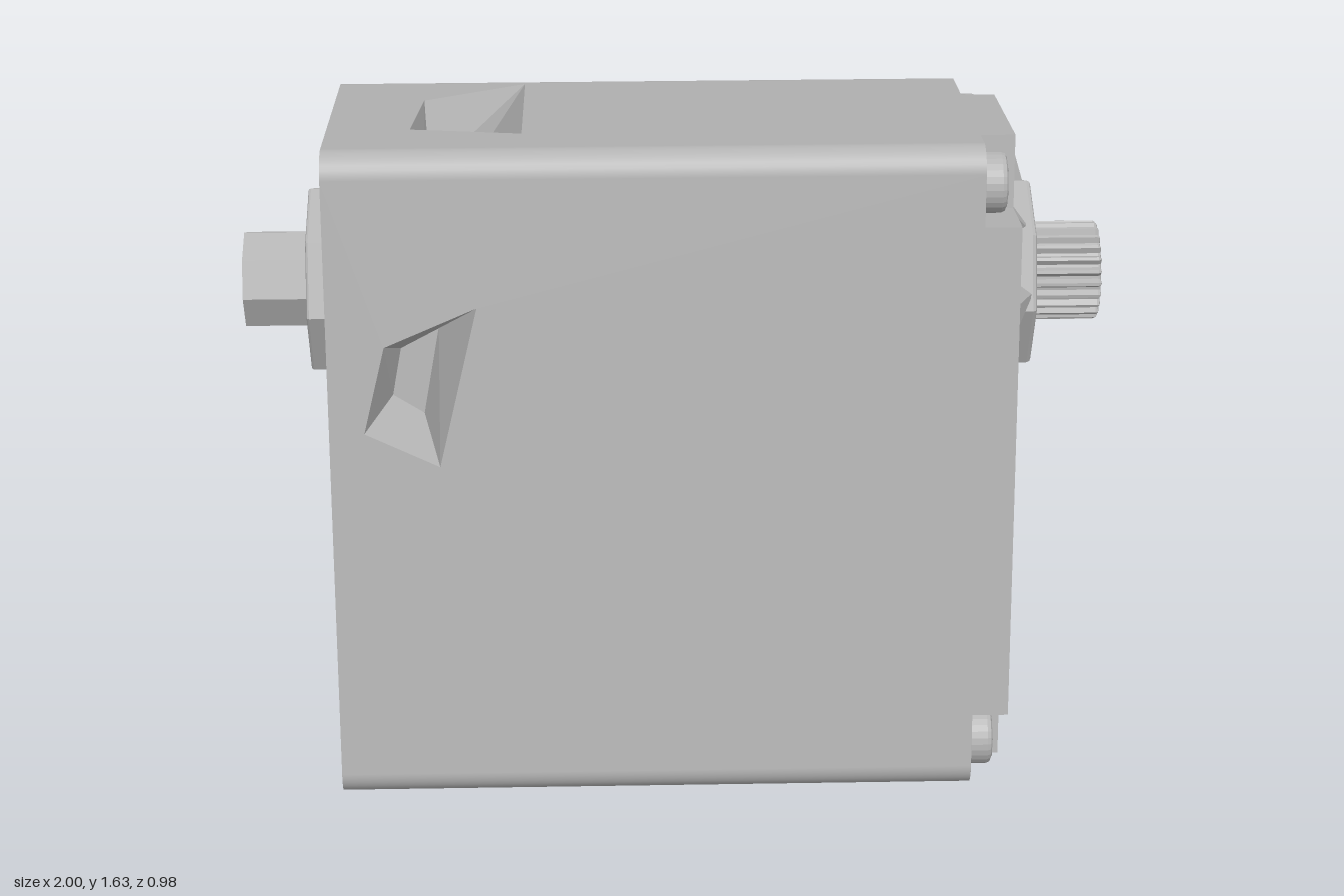
import * as THREE from 'three';
import { ConvexGeometry } from 'three/addons/geometries/ConvexGeometry.js';

// Case dimensions: half depth, half height, corner radius, end positions along x
const HU = 0.386, HV = 0.776, R = 0.06;
const X0 = -0.79, X1 = 0.69, XC = 0.775, MID = (X0 + X1) / 2, AXIS_V = 0.386;

const grey = new THREE.MeshStandardMaterial({ color: 0xb4b4b4, side: THREE.DoubleSide });
grey.name = 'grey metal';

const v2 = ([x, y]) => new THREE.Vector2(x, y);

function mesh(name, geometry, parent) {
  const m = new THREE.Mesh(geometry, grey);
  m.name = name;
  parent.add(m);
  return m;
}

// Regular polygon outline
function ring(r, n, cx = 0, cy = 0, turn = 0) {
  return Array.from({ length: n }, (_, i) => {
    const a = turn + (i / n) * Math.PI * 2;
    return new THREE.Vector2(cx + r * Math.cos(a), cy + r * Math.sin(a));
  });
}

function shapeOf(points, holes = []) {
  const s = new THREE.Shape(points);
  s.holes = holes.map((h) => new THREE.Path(h));
  return s;
}

// Extrude a profile outward along x: side 1 is the output end, -1 the rear
function along(shape, x, depth, side, bevel = 0) {
  const g = new THREE.ExtrudeGeometry(shape, {
    depth: depth - bevel, bevelEnabled: bevel > 0, bevelThickness: bevel,
    bevelSize: bevel, bevelOffset: -bevel, bevelSegments: 2, curveSegments: 12,
  });
  return g.rotateY((side * Math.PI) / 2).translate(x, 0, 0);
}

// Case end outline with rounded corners
function roundedOutline() {
  const pts = [];
  [[1, 1], [-1, 1], [-1, -1], [1, -1]].forEach(([sx, sy], q) => {
    for (let i = 0; i <= 6; i++) {
      const a = (q + i / 6) * Math.PI / 2;
      pts.push(new THREE.Vector2(sx * (HU - R) + R * Math.cos(a), sy * (HV - R) + R * Math.sin(a)));
    }
  });
  return pts;
}

// Flat case wall, optionally with a faceted pit whose floor lies toward `deep`
function wall(name, half, pit, deep, parent) {
  const g = new THREE.Group();
  g.name = name;
  parent.add(g);
  const L = (X1 - X0) / 2;
  const rect = [[-L, -half], [L, -half], [L, half], [-L, half]].map(v2);
  mesh(name + 'Panel', new THREE.ShapeGeometry(shapeOf(rect, pit ? [pit.map(v2)] : [])), g);
  if (pit) {
    const n = pit.length, pos = [];
    const floor = pit.map(([x, y]) => [deep[0] + (x - deep[0]) * 0.42, deep[1] + (y - deep[1]) * 0.55, -0.16]);
    const rim = pit.map(([x, y]) => [x, y, 0]);
    for (let i = 0; i < n; i++) {
      const j = (i + 1) % n;
      pos.push(...rim[i], ...floor[j], ...rim[j], ...rim[i], ...floor[i], ...floor[j]);
      if (i > 0 && i < n - 1) pos.push(...floor[0], ...floor[i], ...floor[i + 1]);
    }
    const b = new THREE.BufferGeometry();
    b.setAttribute('position', new THREE.Float32BufferAttribute(pos, 3));
    b.computeVertexNormals();
    // keep the facets facing out of the pit
    mesh(name + 'Pit', b, g);
  }
  return g;
}

function buildCase(parent) {
  const relX = (pts, flip = 1) => pts.map(([x, y]) => [(x - MID) * flip, y]);
  // Four long walls; pits listed counter-clockwise
  const front = wall('frontWall', HV - R, relX([[-0.54, 0.045], [-0.45, 0.42], [-0.66, 0.33], [-0.71, 0.126]]), [-0.61 - MID, 0.22], parent);
  front.position.set(MID, 0, HU);
  const backPit = relX([[-0.37, 0.69], [-0.47, -0.03], [-0.66, 0.015], [-0.667, 0.30]], -1).reverse();
  const back = wall('backWall', HV - R, backPit.reverse(), [0.61 + MID, 0.13], parent);
  back.position.set(MID, 0, -HU);
  back.rotation.y = Math.PI;
  const top = wall('topWall', HU - R, relX([[-0.345, -0.198], [-0.345, 0.316], [-0.58, 0.146], [-0.6, -0.148]]), [-0.56 - MID, 0], parent);
  top.position.set(MID, HV, 0);
  top.rotation.x = -Math.PI / 2;
  const bottom = wall('bottomWall', HU - R, null, null, parent);
  bottom.position.set(MID, -HV, 0);
  bottom.rotation.x = Math.PI / 2;

  // Rounded long edges
  for (const sv of [1, -1]) for (const su of [1, -1]) {
    const start = Math.atan2(su, sv) - Math.PI / 4;
    const g = new THREE.CylinderGeometry(R, R, X1 - X0, 8, 1, true, start, Math.PI / 2);
    // cylinder: sin -> x, cos -> z; map to z and y with the axis along x
    g.applyMatrix4(new THREE.Matrix4().set(0, 1, 0, MID, 0, 0, 1, sv * (HV - R), 1, 0, 0, su * (HU - R), 0, 0, 0, 1));
    mesh('roundedEdge', g, parent);
  }

  // End faces; the rear one has six blind screw holes
  mesh('outputEnd', new THREE.ShapeGeometry(shapeOf(roundedOutline())).rotateY(Math.PI / 2).translate(X1, 0, 0), parent);
  const spots = [0.70, -0.09, -0.70].flatMap((v) => [[-0.3, v], [0.3, v]]);
  const holes = spots.map(([u, v]) => ring(0.03, 16, u, v));
  mesh('rearEnd', new THREE.ShapeGeometry(shapeOf(roundedOutline(), holes)).rotateY(-Math.PI / 2).translate(X0, 0, 0), parent);
  for (const [u, v] of spots) {
    const bore = new THREE.CylinderGeometry(0.03, 0.03, 0.1, 16, 1, true).rotateZ(Math.PI / 2);
    mesh('rearHoleBore', bore.translate(X0 + 0.05, v, u), parent);
    mesh('rearHoleFloor', new THREE.CircleGeometry(0.03, 16).rotateY(-Math.PI / 2).translate(X0 + 0.1, v, u), parent);
  }
}

// Output cover with notched corners, round holes and a keyhole slot
function buildCover(parent) {
  const w = HU - 0.012, h = HV - 0.012, nu = 0.206, nv = 0.592, f = 0.05;
  const s = new THREE.Shape();
  s.moveTo(-nu, -h).lineTo(nu, -h).lineTo(nu, -nv - f).quadraticCurveTo(nu, -nv, nu + f, -nv);
  s.lineTo(w, -nv).lineTo(w, nv).lineTo(nu, nv).lineTo(nu, h);
  s.lineTo(-nu, h).lineTo(-nu, nv).lineTo(-w, nv).lineTo(-w, -nv);
  s.lineTo(-nu - f, -nv).quadraticCurveTo(-nu, -nv, -nu, -nv - f);
  const spots = [[-0.29, 0.1], [0.29, 0.1], [-0.27, -0.413], [0.27, -0.413], [0, -0.676]];
  s.holes = spots.map(([x, y]) => new THREE.Path(ring(0.04, 20, x, y)));
  const key = new THREE.Path();
  key.moveTo(0.02, 0.24).lineTo(-0.02, 0.24).lineTo(-0.02, -0.237);
  key.absarc(0, -0.271, 0.04, Math.PI * 2 / 3, Math.PI * 7 / 3, false);
  key.closePath();
  s.holes.push(key);
  mesh('outputCover', along(s, X1, XC - X1, 1), parent);

  // Corner screws with cross recesses
  const a = 0.013, b = 0.046;
  const cross = [[a, a], [a, b], [-a, b], [-a, a], [-b, a], [-b, -a], [-a, -a], [-a, -b], [a, -b], [a, -a], [b, -a], [b, a]].map(v2);
  [[-1, 1, 0.5], [1, 1, 0.9], [-1, -1, 0.2], [1, -1, 0.35]].forEach(([su, sv, turn]) => {
    const head = along(shapeOf(ring(0.07, 28), [cross]), 0, 0.05, 1, 0.012).rotateX(turn);
    mesh('screwHead', head.translate(X1 + 0.004, sv * 0.676, su * -0.29), parent);
  });
}

// Output boss with tapering ribs and a splined shaft
function buildOutput(parent) {
  const xb = 0.835;
  mesh('outputBoss', along(shapeOf(ring(0.23, 8, 0, AXIS_V, 0.15)), XC, xb - XC, 1, 0.01), parent);
  // ribs: direction angle, reach, half width at the boss, half width at the tip
  const ribs = [[0, 0.37, 0.075, 0.004], [1.57, 0.37, 0.04, 0.025], [-1.57, 0.37, 0.04, 0.025], [0.8, 0.29, 0.05, 0.01], [-0.8, 0.29, 0.05, 0.01]];
  for (const [turn, reach, wide, tip] of ribs) {
    const pts = [[XC, 0.18, wide], [XC, 0.18, -wide], [xb - 0.003, 0.18, 0], [XC, reach, tip], [XC, reach, -tip], [XC + 0.008, reach - 0.03, 0]];
    const g = new ConvexGeometry(pts.map((p) => new THREE.Vector3(...p)));
    mesh('bossRib', g.rotateX(turn).translate(0, AXIS_V, 0), parent);
  }
  const teeth = 24;
  const spline = Array.from({ length: teeth * 4 }, (_, i) => {
    const r = i % 4 < 2 ? 0.116 : 0.103, t = (i / (teeth * 4)) * Math.PI * 2;
    return new THREE.Vector2(r * Math.cos(t), AXIS_V + r * Math.sin(t));
  });
  mesh('splinedShaft', along(shapeOf(spline, [ring(0.052, 20, 0, AXIS_V)]), xb - 0.01, 0.175, 1, 0.008), parent);
}

// Rear boss and hollow faceted pivot
function buildRear(parent) {
  mesh('rearBoss', along(shapeOf(ring(0.228, 8, 0, AXIS_V, -0.15)), X0, 0.055, -1, 0.006), parent);
  const pivot = shapeOf(ring(0.118, 8, 0, AXIS_V, -0.15), [ring(0.05, 20, 0, AXIS_V)]);
  mesh('rearPivot', along(pivot, X0 - 0.05, 0.16, -1), parent);
}

export function createModel() {
  const model = new THREE.Group();
  model.name = 'servoMotor';
  const body = new THREE.Group();
  body.name = 'servoBody';
  buildCase(body);
  buildCover(body);
  buildOutput(body);
  buildRear(body);
  // the whole unit leans back slightly
  body.rotation.x = -0.15;
  body.position.y = 0.8175;
  model.add(body);
  return model;
}
